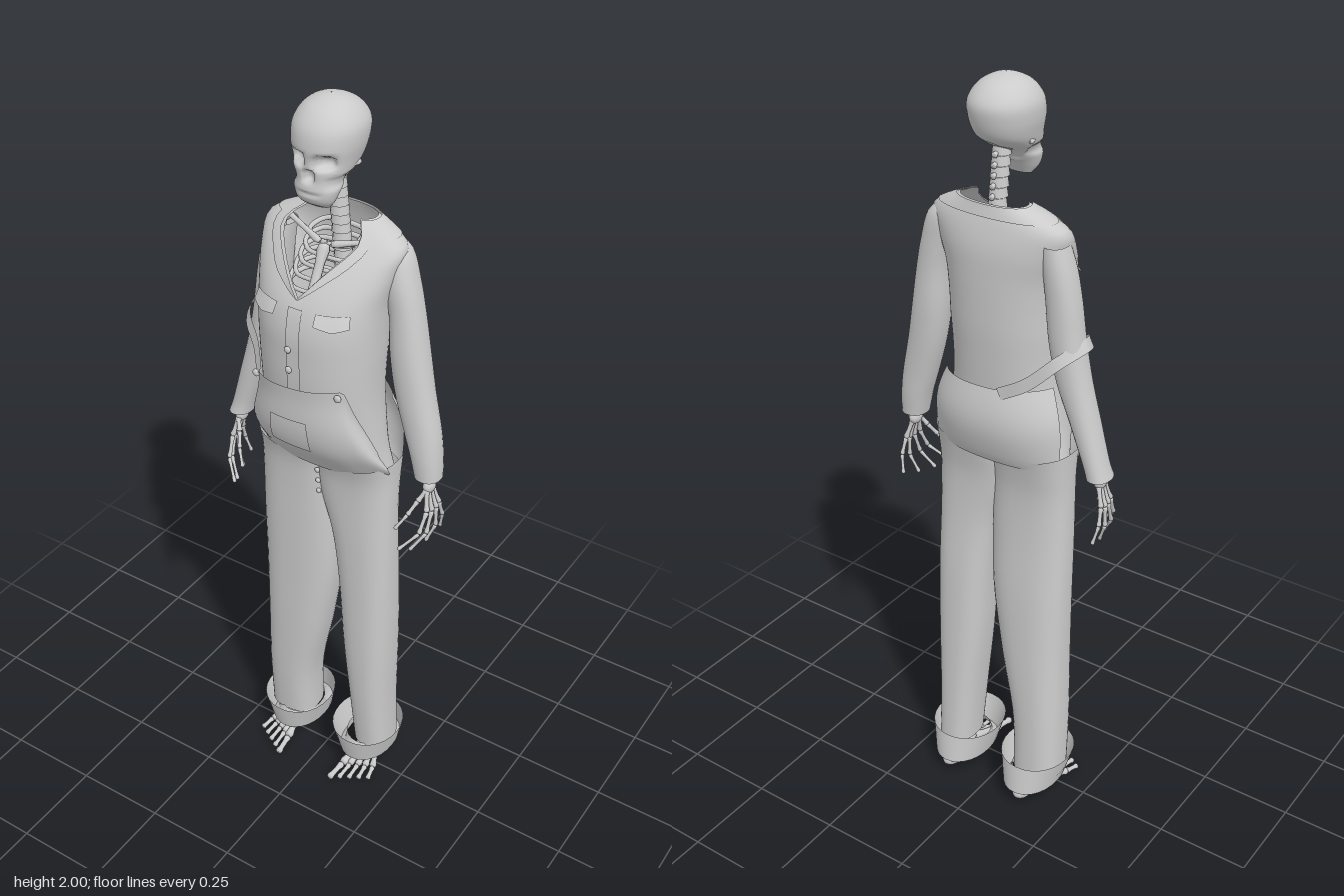
import * as THREE from 'three';
import { toCreasedNormals } from 'three/addons/utils/BufferGeometryUtils.js';

const mat = new THREE.MeshStandardMaterial({ color: 0xcccccc, side: THREE.DoubleSide });
const V = (x, y, z) => new THREE.Vector3(x, y, z);

function add(parent, name, geo) {
  const m = new THREE.Mesh(geo, mat);
  m.name = name;
  parent.add(m);
  return m;
}

function group(parent, name) {
  const g = new THREE.Group();
  g.name = name;
  parent.add(g);
  return g;
}

// A ring is [y, centre x, half width, front z, back z]; u runs along the rings
function ringAt(rings, u) {
  const last = rings.length - 1;
  const i = Math.min(Math.floor(u), last - 1), t = u - i;
  const at = k => rings[Math.max(0, Math.min(last, k))];
  const [a, b, c, d] = [at(i - 1), at(i), at(i + 1), at(i + 2)];
  return b.map((_, k) => b[k] + 0.5 * t * (c[k] - a[k] +
    t * (2 * a[k] - 5 * b[k] + 4 * c[k] - d[k] + t * (3 * (b[k] - c[k]) + d[k] - a[k]))));
}

// Angle 0 faces the front and grows towards +x
function pointOn(rings, u, angle, off = 0, e = 0.9) {
  const [y, cx, rx, zf, zb] = ringAt(rings, u);
  const pow = v => Math.sign(v) * Math.abs(v) ** e;
  return V(cx + (rx + off) * pow(Math.sin(angle)), y,
    (zf + zb) / 2 + ((zf - zb) / 2 + off) * pow(Math.cos(angle)));
}

// Skin over rings, whole or as a patch between two angles and two heights
function loft(rings, { n = 32, rows = (rings.length - 1) * 4, from, to, lo = () => 0,
  hi = () => rings.length - 1, off = () => 0, e = 0.9 } = {}) {
  const open = from !== undefined, cols = open ? n + 1 : n;
  const pos = [], idx = [];
  for (let r = 0; r <= rows; r++) for (let c = 0; c < cols; c++) {
    const a = open ? from + (to - from) * c / n : -Math.PI + 2 * Math.PI * c / n;
    const v = r / rows;
    pos.push(...pointOn(rings, lo(a) + (hi(a) - lo(a)) * v, a, off(v), e).toArray());
  }
  for (let r = 0; r < rows; r++) for (let c = 0; c < n; c++) {
    const d = (c + 1) % cols, p = r * cols, q = p + cols;
    idx.push(p + c, p + d, q + d, p + c, q + d, q + c);
  }
  const g = new THREE.BufferGeometry();
  g.setAttribute('position', new THREE.Float32BufferAttribute(pos, 3));
  g.setIndex(idx);
  g.computeVertexNormals();
  return g;
}

// Long bone with knobbed ends between two points
function bone(parent, name, a, b, r) {
  const len = a.distanceTo(b);
  const profile = [[0, 0], [0.9, 0.02], [1.15, 0.1], [0.85, 0.3], [0.85, 0.7], [1.15, 0.9], [0.9, 0.98], [0, 1]];
  const m = add(parent, name, new THREE.LatheGeometry(
    profile.map(([x, y]) => new THREE.Vector2(x * r, y * len)), 8));
  m.position.copy(a);
  m.quaternion.setFromUnitVectors(V(0, 1, 0), b.clone().sub(a).normalize());
}

function ball(parent, name, p, sx, sy, sz) {
  const m = add(parent, name, new THREE.SphereGeometry(1, 16, 10));
  m.position.copy(p);
  m.scale.set(sx, sy, sz);
}

const shirtRings = [
  [1.05, 0, 0.18, 0.06, -0.085], [1.12, 0, 0.167, 0.1, -0.09], [1.19, 0, 0.16, 0.12, -0.095],
  [1.26, 0, 0.155, 0.138, -0.1], [1.33, 0, 0.155, 0.147, -0.105], [1.4, 0, 0.158, 0.15, -0.11],
  [1.47, 0, 0.16, 0.15, -0.112], [1.54, 0, 0.165, 0.133, -0.113], [1.61, 0, 0.18, 0.09, -0.112],
  [1.67, 0.004, 0.18, 0.035, -0.1], [1.715, 0.01, 0.09, -0.005, -0.085]];

function buildSkull(parent) {
  const g = loft([
    [1.757, 0, 0.032, 0.057, 0.03], [1.775, 0, 0.046, 0.08, 0.018], [1.8, 0, 0.055, 0.088, 0],
    [1.825, 0, 0.06, 0.085, -0.025], [1.845, 0, 0.068, 0.086, -0.06], [1.868, 0, 0.075, 0.086, -0.088],
    [1.905, 0, 0.083, 0.088, -0.103], [1.943, 0, 0.082, 0.08, -0.105], [1.975, 0, 0.062, 0.055, -0.08],
    [1.993, 0, 0.033, 0.022, -0.045], [2, 0, 0.001, -0.01, -0.012]], { n: 56, rows: 56, e: 0.95 });
  // Eye sockets, nose opening, hollow cheeks and mouth line
  const p = g.attributes.position;
  for (let i = 0; i < p.count; i++) {
    const x = p.getX(i), y = p.getY(i), z = p.getZ(i), ax = Math.abs(x);
    if (z < 0) continue;
    const dent = (cx, cy, w, h) => Math.exp(-(((ax - cx) / w) ** 4) - ((y - cy) / h) ** 4);
    p.setZ(i, z - 0.026 * dent(0.034, 1.873, 0.02, 0.015) - 0.018 * dent(0, 1.838, 0.012, 0.014)
      - 0.004 * dent(0, 1.797, 0.03, 0.005));
    p.setX(i, x * (1 - 0.1 * dent(0.058, 1.825, 0.02, 0.014)));
  }
  g.computeVertexNormals();
  add(parent, 'skull', g);
  for (const s of [-1, 1]) bone(parent, 'cheekbone', V(s * 0.05, 1.848, 0.06), V(s * 0.071, 1.855, -0.02), 0.006);
}

function buildRibCage(parent) {
  for (let i = 0; i < 13; i++) {
    const t = i / 12;
    const m = add(parent, 'vertebra', new THREE.CylinderGeometry(0.021, 0.024, 0.023, 10));
    m.position.set(0, 1.54 + 0.29 * t, -0.07 + 0.04 * t);
    bone(parent, 'vertebraSpine', m.position, m.position.clone().add(V(0, -0.01, -0.032)), 0.007);
  }
  bone(parent, 'sternum', V(0, 1.645, 0.015), V(0, 1.51, 0.085), 0.014);
  for (const s of [-1, 1]) {
    for (let i = 0; i < 6; i++) {
      const y = 1.665 - i * 0.028, w = 0.065 + i * 0.01, z = 0.005 + i * 0.013;
      const path = new THREE.CatmullRomCurve3([V(0, y, -0.07), V(s * w * 0.8, y - 0.005, -0.065),
        V(s * w, y - 0.015, -0.02), V(s * w * 0.7, y - 0.025, z - 0.01), V(0, y - 0.025, z)]);
      add(parent, 'rib', new THREE.TubeGeometry(path, 20, 0.006, 6));
    }
    bone(parent, 'collarBone', V(s * 0.015, 1.645, 0.015), V(s * 0.15, 1.672, -0.035), 0.008);
    ball(parent, 'shoulderJoint', V(s * 0.15, 1.66, -0.04), 0.022, 0.022, 0.025);
    bone(parent, 'upperArmBone', V(s * 0.155, 1.655, -0.04), V(s * 0.2, 1.36, -0.035), 0.012);
  }
}

function buildShirt(parent) {
  // The neck opens in a V, wider on the slipped right side
  const neck = a => 10 - 2.8 * Math.max(0, 1 - Math.abs(a) / (a < 0 ? 0.95 : 0.75));
  add(parent, 'shirtBody', loft(shirtRings, { n: 64, hi: neck }));
  add(parent, 'collar', loft(shirtRings, {
    n: 64, rows: 4, from: -Math.PI, to: Math.PI, hi: neck,
    lo: a => neck(a) - 0.7 * Math.min(1, 0.1 + Math.abs(a) * 2), off: v => 0.004 + 0.004 * v }));
  add(parent, 'placket', loft(shirtRings, { n: 2, from: -0.09, to: 0.09, lo: () => 3, hi: () => 6.9, off: () => 0.003 }));
  for (const s of [-1, 1]) add(parent, 'chestPocketFlap', loft(shirtRings, {
    n: 8, rows: 3, from: s * 0.55 - 0.27, to: s * 0.55 + 0.27,
    lo: a => 6.4 + 0.5 * Math.abs(Math.abs(a) - 0.55), hi: () => 6.9, off: v => 0.012 - 0.009 * v }));
  for (const u of [4.6, 5.4]) ball(parent, 'shirtButton', pointOn(shirtRings, u, -0.05, 0.006), 0.009, 0.009, 0.005);

  const sleeves = { left: [
    [1.07, 0.277, 0.034, 0.012, -0.062], [1.13, 0.268, 0.04, 0.015, -0.068], [1.2, 0.252, 0.047, 0.015, -0.07],
    [1.3, 0.226, 0.05, 0.015, -0.075], [1.4, 0.208, 0.048, 0.015, -0.08], [1.5, 0.195, 0.042, 0.01, -0.08],
    [1.58, 0.178, 0.04, 0.008, -0.082], [1.65, 0.158, 0.036, -0.005, -0.08], [1.685, 0.145, 0.008, -0.03, -0.055]],
  right: [
    [1.06, -0.284, 0.03, 0.015, -0.065], [1.1, -0.272, 0.03, 0.01, -0.065], [1.2, -0.24, 0.036, 0.012, -0.068],
    [1.3, -0.208, 0.043, 0.012, -0.072], [1.4, -0.188, 0.044, 0.012, -0.076], [1.5, -0.178, 0.042, 0.008, -0.078],
    [1.58, -0.167, 0.038, 0.005, -0.08], [1.64, -0.155, 0.033, -0.005, -0.078]] };
  for (const side in sleeves) add(parent, side + 'Sleeve', loft(sleeves[side], { n: 24 }));
}

function buildOveralls(parent) {
  // Legs meet in the middle above the crotch; the waist dips at the centre
  const legs = { left: [
    [0.08, 0.138, 0.052, 0.025, -0.105], [0.25, 0.132, 0.058, 0.04, -0.1], [0.45, 0.125, 0.07, 0.05, -0.095],
    [0.65, 0.119, 0.077, 0.053, -0.088], [0.82, 0.108, 0.087, 0.055, -0.076], [0.95, 0.088, 0.106, 0.057, -0.074],
    [1.03, 0.083, 0.111, 0.063, -0.085], [1.09, 0.083, 0.113, 0.08, -0.1]],
  right: [
    [0.08, -0.13, 0.07, 0.025, -0.105], [0.25, -0.125, 0.073, 0.04, -0.1], [0.45, -0.102, 0.092, 0.05, -0.095],
    [0.65, -0.086, 0.108, 0.053, -0.088], [0.82, -0.082, 0.112, 0.055, -0.076], [0.95, -0.082, 0.111, 0.057, -0.074],
    [1.03, -0.083, 0.111, 0.063, -0.085], [1.09, -0.083, 0.113, 0.08, -0.1]] };
  for (const [side, s] of [['left', 1], ['right', -1]]) add(parent, side + 'TrouserLeg',
    loft(legs[side], { n: 36, e: 0.8, hi: a => 7 - 0.5 * (1 - s * Math.sin(a)) }));
  for (const y of [1.02, 0.985, 0.95]) ball(parent, 'flyButton', V(0, y, 0.052 - (1.02 - y) * 0.1), 0.007, 0.007, 0.005);

  // Turned up cuffs, flaring to an open top
  for (const s of [-1, 1]) {
    const x = s * 0.116;
    add(parent, 'trouserCuff', toCreasedNormals(loft([
      [0.128, x, 0.096, 0.078, -0.138], [0.045, x, 0.074, 0.06, -0.15], [0.055, x, 0.062, 0.045, -0.135],
      [0.085, x, 0.06, 0.03, -0.11]], { n: 28, rows: 3, e: 0.95 }), 0.7));
  }

  // Bib hanging over the belly, with its pocket
  const bulge = v => 0.01 + 0.02 * Math.sin(Math.PI * Math.min(1, v * 1.05 + 0.02)) ** 2;
  add(parent, 'bib', loft(shirtRings, { n: 32, rows: 16, from: -1.35, to: 1.3, off: bulge,
    hi: a => 3.9 + 0.3 * a - 6 * Math.max(0, a - 0.78, -a - 0.98) }));
  add(parent, 'bibPocket', loft(shirtRings, { n: 8, rows: 6, from: -0.33, to: 0.18,
    lo: () => 1.4, hi: a => 2.65 + 0.2 * a, off: v => 0.007 + bulge((1.4 + 1.25 * v) / 3.9) }));
  for (const [u, a] of [[3.5, -0.9], [3.9, 0.68]]) ball(parent, 'bibButton', pointOn(shirtRings, u, a, 0.016), 0.01, 0.01, 0.006);
  // Loose back panel
  add(parent, 'backPanel', loft(shirtRings, { n: 32, rows: 12, from: Math.PI - 1.15, to: Math.PI + 1.15,
    hi: a => 3 + 0.15 * (a - Math.PI), off: v => 0.015 + 0.024 * Math.sin(Math.PI * v) }));

  // Slack strap slung round the right arm
  const path = new THREE.CatmullRomCurve3([V(-0.05, 1.255, -0.118), V(-0.125, 1.3, -0.112), V(-0.2, 1.37, -0.088),
    V(-0.237, 1.4, -0.03), V(-0.215, 1.385, 0.03), V(-0.165, 1.345, 0.07), V(-0.125, 1.305, 0.115)]);
  const strap = new THREE.PlaneGeometry(1, 1, 40, 1), p = strap.attributes.position;
  for (let i = 0; i < p.count; i++) {
    const q = path.getPoint(p.getX(i) + 0.5);
    p.setXYZ(i, q.x + p.getY(i) * 0.014, q.y + p.getY(i) * 0.028, q.z);
  }
  strap.computeVertexNormals();
  add(parent, 'shoulderStrap', strap);
}

function buildHand(parent, s) {
  const wrist = V(s * 0.28, 1.06, -0.022);
  bone(parent, 'forearm', V(s * 0.255, 1.2, -0.028), wrist, 0.012);
  ball(parent, 'wrist', V(s * 0.283, 1.045, -0.02), 0.015, 0.02, 0.022);
  // Fingers as [knuckle, middle, tip], thumb first
  const fingers = [
    [V(0.27, 1.01, 0.012), V(0.255, 0.975, 0.035), V(0.232, 0.935, 0.055)],
    [V(0.295, 0.985, 0.01), V(0.29, 0.93, 0.035), V(0.25, 0.885, 0.068)],
    [V(0.3, 0.98, -0.008), V(0.298, 0.92, 0.012), V(0.265, 0.868, 0.035)],
    [V(0.302, 0.98, -0.026), V(0.303, 0.925, -0.026), V(0.282, 0.872, -0.015)],
    [V(0.3, 0.985, -0.043), V(0.304, 0.94, -0.057), V(0.293, 0.89, -0.068)]];
  for (const joints of fingers) {
    let prev = V(s * 0.284, 1.04, joints[0].z * 0.5 - 0.01);
    for (const [i, j] of joints.entries()) {
      const next = V(s * j.x, j.y, j.z);
      bone(parent, 'fingerBone', prev, next, 0.0068 - i * 0.001);
      prev = next;
    }
  }
}

function buildFoot(parent, s) {
  bone(parent, 'shin', V(s * 0.13, 0.26, -0.04), V(s * 0.125, 0.055, -0.06), 0.018);
  ball(parent, 'heel', V(s * 0.12, 0.032, -0.105), 0.026, 0.026, 0.042);
  ball(parent, 'ankle', V(s * 0.125, 0.048, -0.05), 0.032, 0.026, 0.042);
  for (let i = 0; i < 5; i++) {
    const start = V(s * (0.108 + i * 0.01), 0.042 - i * 0.004, -0.015 - i * 0.004);
    const knuckle = V(s * (0.094 + i * 0.02), 0.016, 0.07 - i * 0.009);
    const tip = V(s * (0.088 + i * 0.0235), 0.009, 0.13 - i * 0.014);
    bone(parent, 'footBone', start, knuckle, i ? 0.009 : 0.011);
    bone(parent, 'toe', knuckle, tip, i ? 0.007 : 0.009);
  }
}

export function createModel() {
  const model = new THREE.Group();
  model.name = 'clothedSkeleton';
  buildSkull(group(model, 'head'));
  buildRibCage(group(model, 'ribCage'));
  buildShirt(group(model, 'shirt'));
  buildOveralls(group(model, 'overalls'));
  for (const [side, s] of [['left', 1], ['right', -1]]) {
    buildHand(group(model, side + 'Hand'), s);
    buildFoot(group(model, side + 'Foot'), s);
  }
  return model;
}
